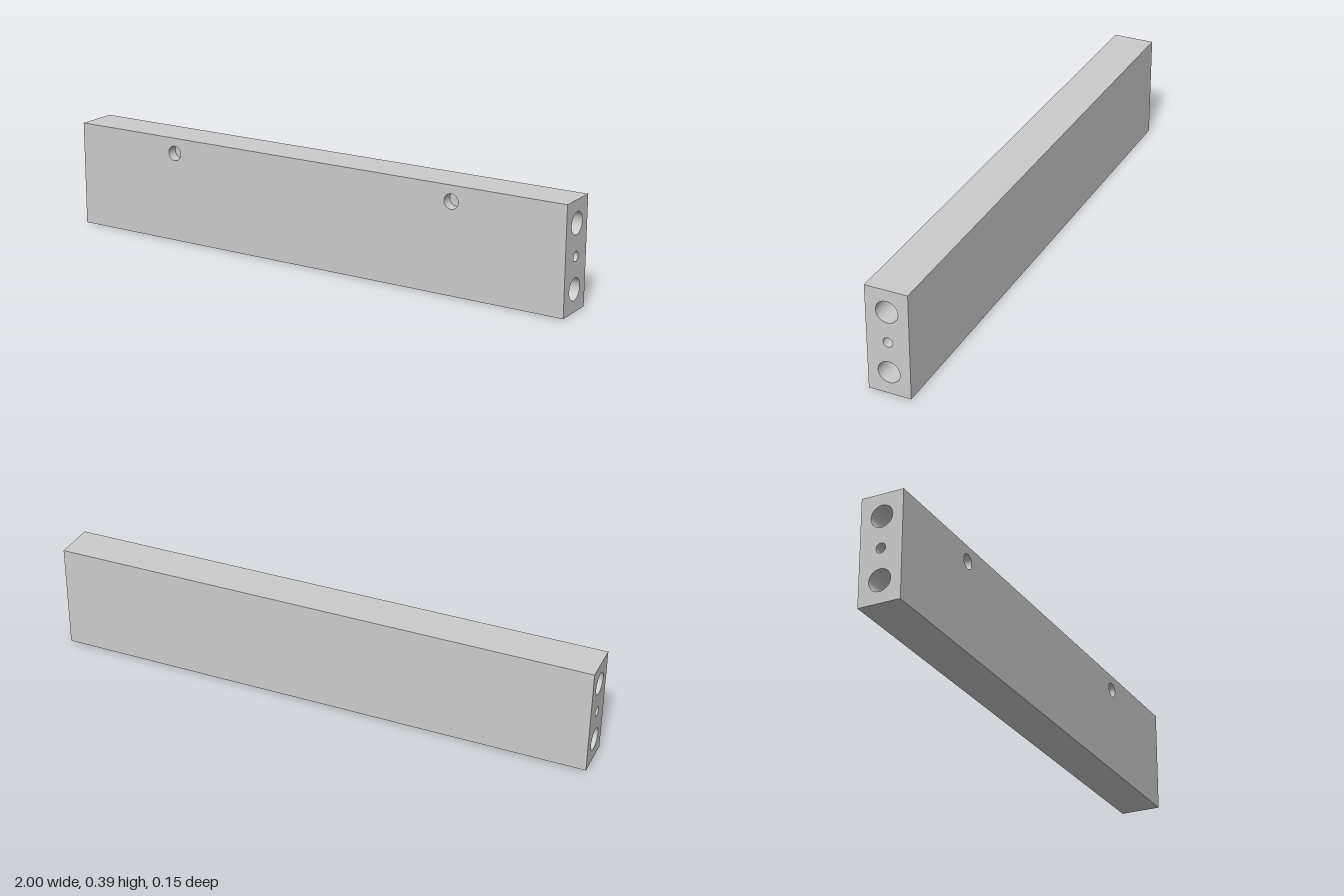
import * as THREE from 'three';

const L = 2, H = 0.388, D = 0.153;
const outside = new THREE.MeshStandardMaterial({ color: 0xcccccc });
const inside = new THREE.MeshStandardMaterial({ color: 0xcccccc, side: THREE.BackSide });

// Flat face (facing +z, centred on its origin) with blind round holes sunk behind it
function drilledFace(name, w, h, holes = []) {
  const face = new THREE.Group();
  face.name = name;
  const shape = new THREE.Shape([
    new THREE.Vector2(-w / 2, -h / 2), new THREE.Vector2(w / 2, -h / 2),
    new THREE.Vector2(w / 2, h / 2), new THREE.Vector2(-w / 2, h / 2),
  ]);
  for (const { x, y, r, depth } of holes) {
    shape.holes.push(new THREE.Path().absarc(x, y, r, 0, Math.PI * 2, true));

    const wall = new THREE.Mesh(
      new THREE.CylinderGeometry(r, r, depth, 48, 1, true).rotateX(Math.PI / 2), inside);
    wall.name = 'holeWall';
    wall.position.set(x, y, -depth / 2);

    const floor = new THREE.Mesh(new THREE.CircleGeometry(r, 48), outside);
    floor.name = 'holeFloor';
    floor.position.set(x, y, -depth);
    face.add(wall, floor);
  }
  const plate = new THREE.Mesh(new THREE.ShapeGeometry(shape, 24), outside);
  plate.name = name + 'Surface';
  face.add(plate);
  return face;
}

export function createModel() {
  const bar = new THREE.Group();
  bar.name = 'drilledBar';

  // Two small ports near the top of the front
  const ports = [-1, 1].map((s) => ({ x: s * 0.575, y: 0.331 - H / 2, r: 0.027, depth: 0.04 }));
  // Two large bores and a small centre hole in each end
  const bores = [
    { x: 0, y: 0.113, r: 0.0395, depth: 0.3 },
    { x: 0, y: 0, r: 0.0175, depth: 0.15 },
    { x: 0, y: -0.113, r: 0.0395, depth: 0.3 },
  ];

  const front = drilledFace('front', L, H, ports);
  front.position.z = D / 2;
  const back = drilledFace('back', L, H);
  back.position.z = -D / 2;
  back.rotation.y = Math.PI;
  bar.add(front, back);

  // Ends, mirrored left and right
  for (const s of [-1, 1]) {
    const end = drilledFace(s > 0 ? 'leftEnd' : 'rightEnd', D, H, bores);
    end.position.x = s * L / 2;
    end.rotation.y = s * Math.PI / 2;
    bar.add(end);
  }

  // Top and underside
  for (const s of [-1, 1]) {
    const side = drilledFace(s > 0 ? 'top' : 'underside', L, D);
    side.position.y = s * H / 2;
    side.rotation.x = -s * Math.PI / 2;
    bar.add(side);
  }

  bar.position.y = H / 2;
  const model = new THREE.Group();
  model.name = 'model';
  model.add(bar);
  return model;
}
